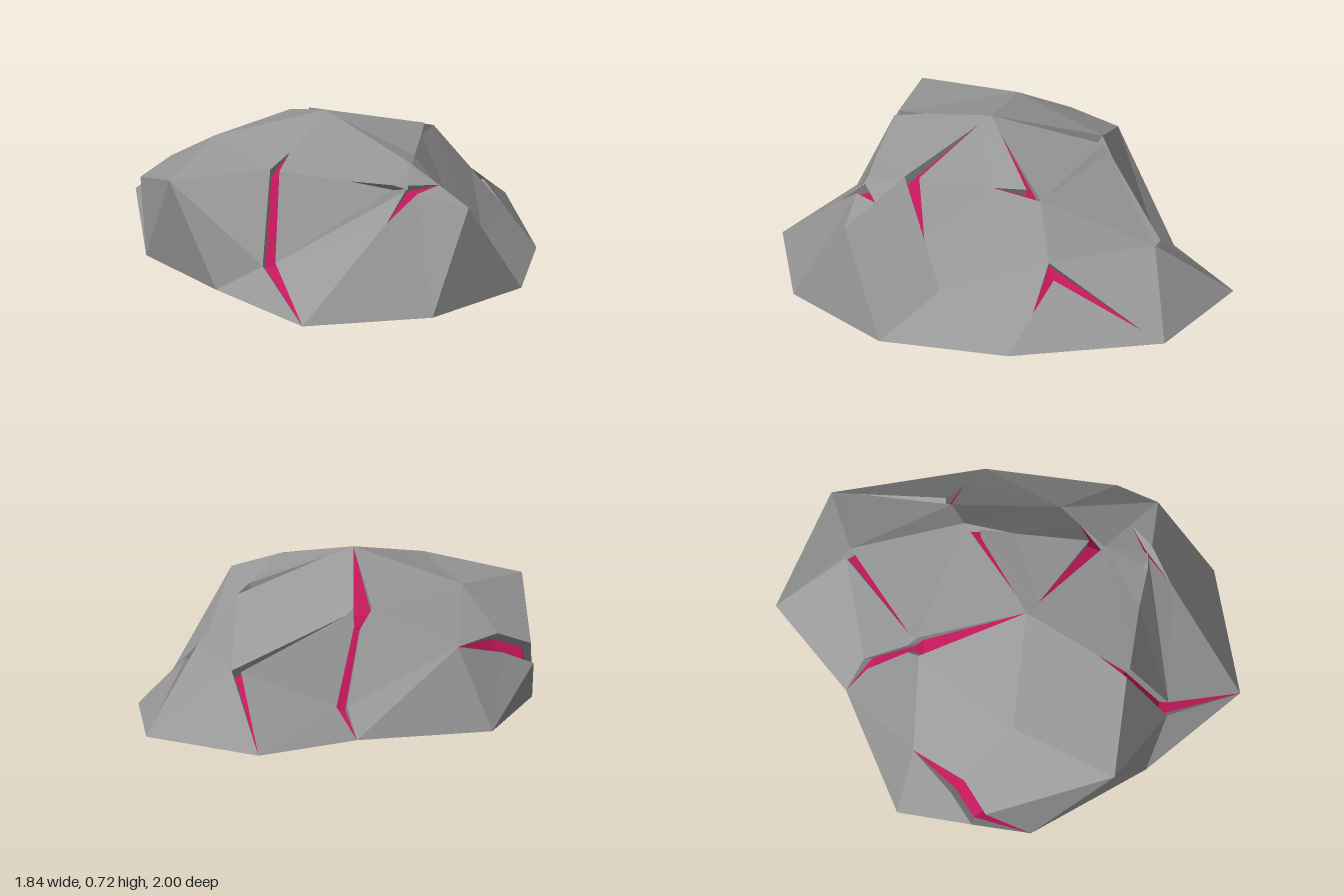
import * as THREE from 'three';

const vec = (x, y, z) => new THREE.Vector3(x, y, z);

// Control points, going round the rock from +x towards +z
const TOP = vec(0, 0.72, 0.21);
const SHOULDER = [[0.51, 0.58, 0.21], [0.14, 0.58, 0.71], [-0.41, 0.58, 0.51], [-0.41, 0.57, -0.08], [0.18, 0.58, -0.27]];
const FLANK = [
  [0.87, 0.44, 0.21], [0.66, 0.51, 0.35], [0.24, 0.19, 0.86], [-0.25, 0.515, 0.99], [-0.765, 0.31, 0.63],
  [-0.75, 0.41, 0.21], [-0.53, 0.17, -0.29], [-0.24, 0.34, -0.67], [0.27, 0.28, -0.54], [0.62, 0.18, -0.16],
];
const FOOT = [
  [0.92, 0, 0.51], [0.57, 0, 1], [0, 0.04, 0.95], [-0.58, 0.04, 0.78], [-0.92, 0.04, 0.27],
  [-0.65, 0.04, -0.3], [-0.57, 0.04, -0.81], [0, 0.04, -1], [0.57, 0, -0.58], [0.92, 0, -0.09],
];
const STONE = 0x999999;
const GLOW = 0xc2185b;

// Flat-shaded geometry from a list of point triples
function trianglesToGeometry(triangles) {
  const geometry = new THREE.BufferGeometry().setFromPoints(triangles.flat());
  geometry.computeVertexNormals();
  return geometry;
}

export function createModel() {
  const group = new THREE.Group();
  group.name = 'crackedRock';

  // Named points and the faces of the closed dome
  const pts = { p: TOP };
  SHOULDER.forEach((c, i) => { pts['s' + i] = vec(...c); });
  FLANK.forEach((c, i) => { pts['f' + i] = vec(...c); });
  FOOT.forEach((c, i) => { pts['b' + i] = vec(...c); });
  let faces = [];
  for (let i = 0; i < 5; i++) {
    const s = 's' + i, next = 's' + ((i + 1) % 5);
    const mid = 'f' + (2 * i + 1), corner = 'f' + 2 * i, before = 'f' + ((2 * i + 9) % 10);
    faces.push(['p', next, s], [s, next, mid], [s, mid, corner], [s, corner, before]);
  }
  for (let k = 0; k < 10; k++) {
    const f = 'f' + k, next = 'f' + ((k + 1) % 10), b = 'b' + k, bNext = 'b' + ((k + 1) % 10);
    faces.push([f, next, b], [next, bNext, b]);
  }

  // Adds a point on an edge and splits the faces beside it
  function edgePoint(a, b, t) {
    const key = a + '-' + b;
    pts[key] = pts[a].clone().lerp(pts[b], t);
    faces = faces.flatMap((f) => (f.includes(a) && f.includes(b)
      ? [f.map((k) => (k === a ? key : k)), f.map((k) => (k === b ? key : k))]
      : [f]));
    return key;
  }

  // Cracks: path of points, then [right, left] widths at each inner point
  const slitFar = edgePoint('f1', 's1', 0.47);
  const slitMid = edgePoint('f1', slitFar, 0.32);
  const slitNear = edgePoint('f1', slitMid, 0.27);
  const cracks = [
    [[edgePoint('s1', 'p', 0.3), 's1', 'f2', 'b1'], [[0.022, 0.022], [0.03, 0.03]]],
    [[slitFar, slitMid, slitNear], [[0.012, 0.012]]],
    [[edgePoint('s0', 'f0', 0.5), 'f1', edgePoint('f1', 'b1', 0.24)], [[0.035, 0.025]]],
    [[edgePoint('s0', 'p', 0.85), 's0', edgePoint('s0', 'f9', 0.55)], [[0.005, 0.07]]],
    [[edgePoint('s4', 'p', 0.77), 's4', edgePoint('s4', 's0', 0.3)], [[0.02, 0.07]]],
    [[edgePoint('f8', 'b7', 0.8), 'f8', edgePoint('f8', 'b8', 0.45)], [[0.075, 0.01]]],
    [['b6', 'f7', edgePoint('f7', 's3', 0.88)], [[0.025, 0.025]]],
    [['b5', 'f6', edgePoint('f6', 's3', 0.8), 's3', 'p'], [[0.025, 0.025], [0.015, 0.015], [0.05, 0.035]]],
    [['f5', edgePoint('f5', 'f4', 0.6), 'f4', 'b3'], [[0.01, 0.09], [0.05, 0.05]]],
  ];

  // Opens each crack: the surface parts at the inner points, over a sunken floor
  const walls = [], floors = [];
  const depth = 0.05;
  for (const [path, widths] of cracks) {
    const swaps = [];
    const rows = path.map((key, i) => {
      const m = pts[key];
      if (i === 0 || i === path.length - 1) return { r: m, l: m, rf: m, lf: m };
      const fan = new Map();
      const normal = vec(0, 0, 0);
      faces.forEach((f, index) => {
        const at = f.indexOf(key);
        if (at < 0) return;
        const u = f[(at + 1) % 3], v = f[(at + 2) % 3];
        fan.set(u, { index, v });
        normal.add(pts[u].clone().sub(m).cross(pts[v].clone().sub(m)).normalize());
      });
      normal.normalize();
      const ahead = pts[path[i + 1]].clone().sub(m).normalize();
      const along = m.clone().sub(pts[path[i - 1]]).normalize().add(ahead);
      const side = along.cross(normal).normalize();
      const [rightWidth, leftWidth] = widths[i - 1];
      const r = m.clone().addScaledVector(side, rightWidth);
      const l = m.clone().addScaledVector(side, -leftWidth);
      // Faces right of the path take one copy of the point, the rest the other
      const right = new Set();
      for (let u = path[i - 1]; u !== path[i + 1]; u = fan.get(u).v) right.add(fan.get(u).index);
      pts[key + 'R'] = r;
      pts[key + 'L'] = l;
      for (const { index } of fan.values()) swaps.push([index, key, key + (right.has(index) ? 'R' : 'L')]);
      const sink = normal.multiplyScalar(-depth);
      return { r, l, rf: r.clone().add(sink), lf: l.clone().add(sink) };
    });
    for (const [index, from, to] of swaps) faces[index] = faces[index].map((k) => (k === from ? to : k));
    for (let i = 0; i + 1 < rows.length; i++) {
      const a = rows[i], b = rows[i + 1];
      walls.push([a.r, b.r, b.rf], [a.r, b.rf, a.rf], [a.l, b.lf, b.l], [a.l, a.lf, b.lf]);
      floors.push([a.lf, a.rf, b.rf], [a.lf, b.rf, b.lf]);
    }
  }

  // Underside closes the rock
  const centre = vec(0, 0.04, 0);
  const underside = FOOT.map((_, k) => [centre, pts['b' + k], pts['b' + ((k + 1) % 10)]]);

  const add = (name, triangles, color, side = THREE.FrontSide) => {
    const full = triangles.filter(([a, b, c]) => !(a.equals(b) || b.equals(c) || a.equals(c)));
    const material = new THREE.MeshStandardMaterial({ color, side, flatShading: true });
    const mesh = new THREE.Mesh(trianglesToGeometry(full), material);
    mesh.name = name;
    group.add(mesh);
  };
  add('rockSurface', faces.map((f) => f.map((k) => pts[k])), STONE);
  add('rockUnderside', underside, STONE);
  add('crackWalls', walls, STONE, THREE.DoubleSide);
  add('crackFloors', floors, GLOW, THREE.DoubleSide);
  return group;
}
